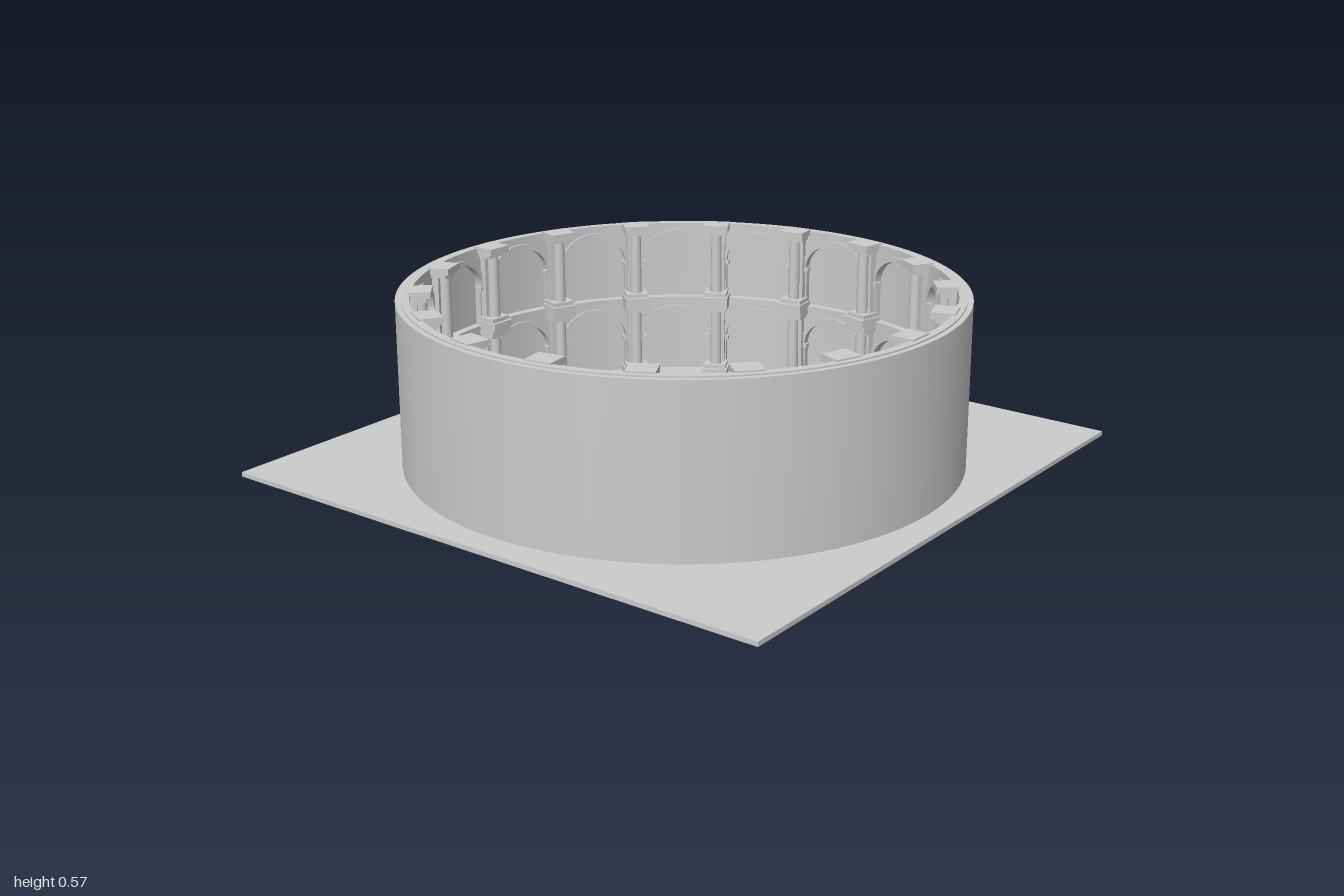
import * as THREE from 'three';
import { toCreasedNormals } from 'three/addons/utils/BufferGeometryUtils.js';

const BAYS = 18, STEP = (Math.PI * 2) / BAYS, OFFSET = 0.012;
const FLOOR = 0.015, MID = 0.285, TOP = 0.567;
const R_FACE = 0.865, R_BACK = 0.892, R_OUT = 0.91;
const HALF = 0.135, RISE = 0.095; // arch half angle and rise

const material = new THREE.MeshStandardMaterial({ color: 0xcccccc });

function mesh(name, geometry, parent, x = 0, y = 0, z = 0) {
  const m = new THREE.Mesh(geometry, material);
  m.name = name;
  m.position.set(x, y, z);
  parent.add(m);
  return m;
}

// Joins cross-sections of four [angle, radius, height] corners
// (inner bottom, inner top, outer top, outer bottom) bent round the axis.
function sweep(sections) {
  const pos = [];
  const put = ([t, r, y]) => pos.push(r * Math.sin(t), y, -r * Math.cos(t));
  for (let i = 0; i + 1 < sections.length; i++) {
    const a = sections[i], b = sections[i + 1];
    for (let k = 0; k < 4; k++) {
      const n = (k + 1) % 4;
      [a[k], b[k], b[n], a[k], b[n], a[n]].forEach(put);
    }
  }
  const g = new THREE.BufferGeometry();
  g.setAttribute('position', new THREE.Float32BufferAttribute(pos, 3));
  return toCreasedNormals(g, 0.5);
}

const section = (t, r0, r1, y0, y1) => [[t, r0, y0], [t, r0, y1], [t, r1, y1], [t, r1, y0]];

function ring(r0, r1, y0, y1, n = 144) {
  const list = [];
  for (let i = 0; i <= n; i++) list.push(section((i / n) * Math.PI * 2, r0, r1, y0, y1));
  return sweep(list);
}

// Wall of arched openings, one bay per step
function arcade(y0, y1) {
  const list = [], spring = y1 - 0.04 - RISE, n = 20;
  for (let b = 0; b < BAYS; b++) {
    const c = OFFSET + (b + 0.5) * STEP;
    list.push(section(c - STEP / 2, R_FACE, R_BACK, y0, y1));
    list.push(section(c - HALF, R_FACE, R_BACK, y0, y1));
    for (let i = 0; i <= n; i++) {
      const a = Math.PI * (1 - i / n);
      list.push(section(c + HALF * Math.cos(a), R_FACE, R_BACK, spring + RISE * Math.sin(a), y1));
    }
    list.push(section(c + HALF, R_FACE, R_BACK, y0, y1));
  }
  list.push(section(OFFSET + (BAYS + 0.5) * STEP - STEP / 2, R_FACE, R_BACK, y0, y1));
  return sweep(list);
}

// Raised moulding that follows one arch, centred on angle 0
function archMoulding(spring) {
  const list = [], n = 20;
  for (let i = 0; i <= n; i++) {
    const a = Math.PI * (1 - i / n), c = Math.cos(a), s = Math.sin(a);
    const low = [HALF * c, spring + RISE * s];
    const high = [(HALF + 0.018) * c, spring + (RISE + 0.016) * s];
    list.push([
      [low[0], R_FACE - 0.007, low[1]], [high[0], R_FACE - 0.007, high[1]],
      [high[0], R_FACE + 0.005, high[1]], [low[0], R_FACE + 0.005, low[1]],
    ]);
  }
  return sweep(list);
}

// Block running from the wall face inwards to the given radius
function block(name, parent, width, height, inner, y) {
  const depth = R_FACE + 0.01 - inner;
  return mesh(name, new THREE.BoxGeometry(width, height, depth), parent, 0, y + height / 2, -(inner + depth / 2));
}

// Pier with engaged column, stepped base and stepped capital
function pier(y0, y1) {
  const g = new THREE.Group();
  g.name = 'pier';
  block('pierBase', g, 0.09, 0.024, 0.79, y0);
  block('pierBaseStep', g, 0.078, 0.014, 0.802, y0 + 0.024);
  block('pierShaft', g, 0.058, y1 - y0, 0.842, y0);
  const h = y1 - y0 - 0.07;
  mesh('column', new THREE.CylinderGeometry(0.018, 0.02, h, 16), g, 0, y0 + 0.036 + h / 2, -0.832);
  block('capitalStep', g, 0.074, 0.014, 0.812, y1 - 0.036);
  block('capital', g, 0.088, 0.022, 0.798, y1 - 0.022);
  return g;
}

export function createModel() {
  const model = new THREE.Group();
  model.name = 'arcadedRing';

  mesh('groundPlate', new THREE.BoxGeometry(2, FLOOR, 2), model, 0, FLOOR / 2, 0);
  mesh('outerWall', ring(0.888, R_OUT, 0.005, 0.562), model);
  mesh('middleLedge', ring(0.859, 0.89, MID - 0.01, MID + 0.008), model);

  // Two tiers of arches, each ringed by piers
  for (const [name, y0, y1, capTop] of [
    ['lowerTier', FLOOR, MID, MID],
    ['upperTier', MID, TOP, TOP + 0.005],
  ]) {
    const tier = new THREE.Group();
    tier.name = name;
    model.add(tier);
    mesh('arcadeWall', arcade(y0, y1), tier);
    const spring = y1 - 0.04 - RISE;
    const moulding = archMoulding(spring);
    const onePier = pier(y0, capTop);
    const impost = new THREE.BoxGeometry(0.024, 0.014, 0.026);
    for (let i = 0; i < BAYS; i++) {
      const angle = OFFSET + i * STEP;
      const p = onePier.clone();
      p.rotation.y = -angle;
      tier.add(p);
      mesh('archMoulding', moulding, tier).rotation.y = -(angle + STEP / 2);
      // Imposts under both ends of each arch
      for (const side of [-1, 1]) {
        const t = angle + side * (STEP / 2 - HALF - 0.004), r = R_FACE + 0.002;
        mesh('impost', impost, tier, r * Math.sin(t), spring - 0.007, -r * Math.cos(t)).rotation.y = -t;
      }
    }
  }
  return model;
}
